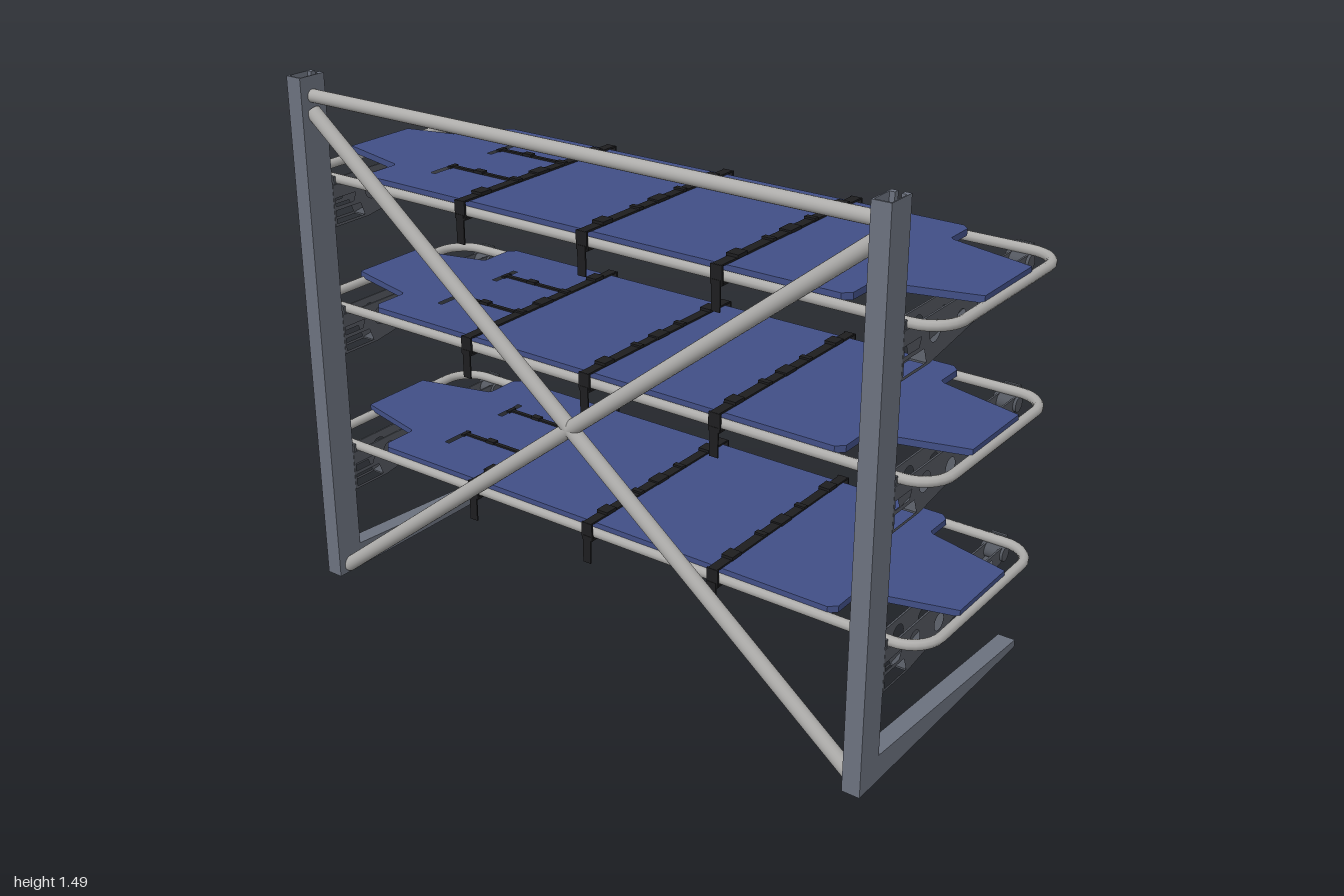
import * as THREE from 'three';

const mat = (name, color, side = THREE.FrontSide) => {
  const m = new THREE.MeshStandardMaterial({ color, side });
  m.name = name;
  return m;
};

export function createModel() {
  const steel = mat('blue grey steel', 0x6c727f);
  const bracketGrey = mat('dark bracket grey', 0x53575f);
  const tubeGrey = mat('light tube metal', 0xadacaa);
  const blue = mat('blue fabric', 0x414f86);
  const black = mat('black webbing', 0x1d1d1f);

  const root = new THREE.Group();
  root.name = 'stretcherRack';

  const add = (parent, name, geo, material, x = 0, y = 0, z = 0) => {
    const m = new THREE.Mesh(geo, material);
    m.name = name;
    m.position.set(x, y, z);
    parent.add(m);
    return m;
  };
  const box = (parent, name, w, h, d, material, x, y, z) =>
    add(parent, name, new THREE.BoxGeometry(w, h, d), material, x, y, z);
  const poly = (pts) => new THREE.Shape(pts.map(([a, b]) => new THREE.Vector2(a, b)));
  const extrude = (shape, depth) =>
    new THREE.ExtrudeGeometry(shape, { depth, bevelEnabled: false, curveSegments: 20 });
  // Shape given as (z, y), thickness centred on x
  const sidePlate = (shape, t) => extrude(shape, t).translate(0, 0, -t / 2).rotateY(-Math.PI / 2);
  // Shape given as (x, z), top face at y = 0
  const flatPlate = (shape, t) => extrude(shape, t).rotateX(Math.PI / 2);
  // Round bar between two points
  const bar = (parent, name, a, b, r, material) => {
    const dir = b.clone().sub(a);
    const m = add(parent, name, new THREE.CylinderGeometry(r, r, dir.length(), 20), material);
    m.position.copy(a).add(b).multiplyScalar(0.5);
    m.quaternion.setFromUnitVectors(new THREE.Vector3(0, 1, 0), dir.normalize());
  };
  const v = (x, y, z) => new THREE.Vector3(x, y, z);

  // ---- Upright frame ----
  const frame = new THREE.Group();
  frame.name = 'frame';
  frame.position.x = -0.005;
  root.add(frame);

  const POST_X = 0.879, POST_H = 1.487;
  // Hollow channel, open in a slot at the back
  const channel = poly([
    [-0.025, 0.415], [-0.025, 0.33], [-0.008, 0.33], [-0.008, 0.345], [-0.021, 0.345],
    [-0.021, 0.409], [0.021, 0.409], [0.021, 0.345], [0.008, 0.345], [0.008, 0.33],
    [0.025, 0.33], [0.025, 0.415],
  ]);
  const postGeo = flatPlate(channel, POST_H);
  const footGeo = sidePlate(poly([[0.335, 0], [0.335, 0.075], [-0.415, 0.022], [-0.415, 0]]), 0.05);
  for (const s of [-1, 1]) {
    add(frame, 'post', postGeo, steel, s * POST_X, POST_H, 0);
    add(frame, 'foot', footGeo, steel, s * POST_X, 0, 0);
    bar(frame, 'diagonalBrace', v(-s * 0.858, 0.022, 0.374), v(s * 0.858, 1.39, 0.374), 0.021, tubeGrey);
  }
  bar(frame, 'topRail', v(-0.856, 1.433, 0.374), v(0.856, 1.433, 0.374), 0.018, tubeGrey);

  // ---- Support arm: two pierced cheeks joined by a web underneath ----
  const cheek = poly([
    [0.325, -0.012], [0.325, -0.13], [0.2, -0.13], [-0.3, -0.053], [-0.312, -0.04], [-0.312, -0.012],
  ]);
  const holes = [
    [0.18, -0.057, 0.026], [0.055, -0.068, 0.023], [-0.043, -0.047, 0.019],
    [-0.132, -0.051, 0.014], [-0.219, -0.035, 0.012],
  ];
  for (const [z, y, r] of holes) {
    cheek.holes.push(new THREE.Path().absarc(z, y, r, 0, Math.PI * 2, true));
  }
  cheek.holes.push(new THREE.Path([
    [0.318, -0.085], [0.318, -0.122], [0.214, -0.122], [0.228, -0.085],
  ].map(([a, b]) => new THREE.Vector2(a, b))));
  cheek.holes.push(new THREE.Path([
    [0.318, -0.05], [0.318, -0.074], [0.253, -0.074], [0.243, -0.05],
  ].map(([a, b]) => new THREE.Vector2(a, b))));
  const cheekGeo = sidePlate(cheek, 0.005);
  const webGeo = sidePlate(poly([
    [0.21, -0.13], [-0.3, -0.052], [-0.3, -0.047], [0.21, -0.125],
  ]), 0.044);

  const addArm = (parent, x) => {
    const arm = new THREE.Group();
    arm.name = 'supportArm';
    arm.position.x = x;
    parent.add(arm);
    for (const s of [-1, 1]) add(arm, 'armCheek', cheekGeo, bracketGrey, s * 0.0225, 0, 0);
    add(arm, 'armWeb', webGeo, bracketGrey);
    box(arm, 'armMount', 0.044, 0.115, 0.005, bracketGrey, 0, -0.07, 0.322);
    const roller = add(arm, 'armEndRoller', new THREE.CylinderGeometry(0.02, 0.02, 0.065, 16), bracketGrey, 0, -0.032, -0.289);
    roller.rotation.z = Math.PI / 2;
    for (const s of [-1, 1]) box(arm, 'tubeClip', 0.045, 0.03, 0.008, bracketGrey, 0, -0.005, s * 0.314);
  };

  // ---- Stretcher parts ----
  // Rounded rectangular tube
  const X = 0.985, Z = 0.296, R = 0.085;
  const loop = new THREE.CurvePath();
  const corners = [[1, 1], [-1, 1], [-1, -1], [1, -1]];
  corners.forEach(([sx, sz], i) => {
    const alongX = v(sx * (X - R), 0, sz * Z), alongZ = v(sx * X, 0, sz * (Z - R));
    const [a, b] = i % 2 === 0 ? [alongZ, alongX] : [alongX, alongZ];
    const k = 0.552;
    const pull = (p) => p.clone().lerp(v(sx * X, 0, sz * Z), k);
    loop.add(new THREE.CubicBezierCurve3(a, pull(a), pull(b), b));
    const [nx, nz] = corners[(i + 1) % 4];
    const next = i % 2 === 0 ? v(nx * (X - R), 0, nz * Z) : v(nx * X, 0, nz * (Z - R));
    loop.add(new THREE.LineCurve3(b, next));
  });
  const tubeGeo = new THREE.TubeGeometry(loop, 260, 0.0135, 10, true);

  // Fabric bed with tapered ends and two slots
  const half = [
    [-0.998, 0.113], [-0.775, 0.168], [-0.768, 0.176], [-0.768, 0.272], [-0.748, 0.292],
    [0.72, 0.292], [0.74, 0.272], [0.74, 0.19], [0.75, 0.18], [0.985, 0.118],
  ];
  const bed = poly([...half, ...half.map(([x, z]) => [x, -z]).reverse()]);
  for (const z of [-0.105, 0.123]) {
    const h = 0.046, w = 0.008;
    bed.holes.push(new THREE.Path([
      [-0.632 - w, z - h], [-0.632 - w, z + h], [-0.632 + w, z + h], [-0.632 + w, z - h],
    ].map(([a, b]) => new THREE.Vector2(a, b))));
  }
  const bedGeo = flatPlate(bed, 0.018);

  const addStretcher = (y) => {
    const g = new THREE.Group();
    g.name = 'stretcher';
    g.position.set(0, y, 0.006);
    root.add(g);
    add(g, 'tubeFrame', tubeGeo, tubeGrey);
    add(g, 'fabricBed', bedGeo, blue, 0, 0.027, 0);

    // Cross straps wrapped round both rails, with hanging tails
    for (const x of [-0.4, 0, 0.4]) {
      box(g, 'crossStrap', 0.027, 0.005, 0.632, black, x, 0.03, 0);
      for (const s of [-1, 1]) {
        box(g, 'strapWrap', 0.034, 0.05, 0.006, black, x, 0.007, s * 0.314);
        box(g, 'strapUnderRail', 0.03, 0.005, 0.036, black, x, -0.017, s * 0.298);
        box(g, 'strapTail', 0.025, 0.08, 0.004, black, x, -0.045, s * 0.316);
        box(g, 'strapBuckle', 0.034, 0.01, 0.04, black, x, 0.035, s * 0.232);
        box(g, 'strapSlider', 0.032, 0.008, 0.016, black, x, 0.034, s * 0.095);
      }
      box(g, 'centreBuckle', 0.034, 0.008, 0.05, black, x, 0.033, 0);
    }
    box(g, 'underStrap', 0.027, 0.005, 0.6, black, -0.4, -0.015, 0);

    // Shoulder straps running from the slots
    for (const z of [-0.103, 0.097]) {
      box(g, 'shoulderStrap', 0.235, 0.005, 0.012, black, -0.515, 0.03, z);
      box(g, 'shoulderBuckle', 0.03, 0.008, 0.02, black, -0.525, 0.033, z);
      box(g, 'shoulderStrapEnd', 0.012, 0.006, 0.03, black, -0.625, 0.03, z);
    }
  };

  // ---- Three tiers ----
  for (const y of [0.382, 0.81, 1.187]) {
    addStretcher(y);
    const arms = new THREE.Group();
    arms.name = 'supportArms';
    arms.position.set(-0.005, y, 0.004);
    root.add(arms);
    for (const s of [-1, 1]) addArm(arms, s * POST_X);
  }
  return root;
}
